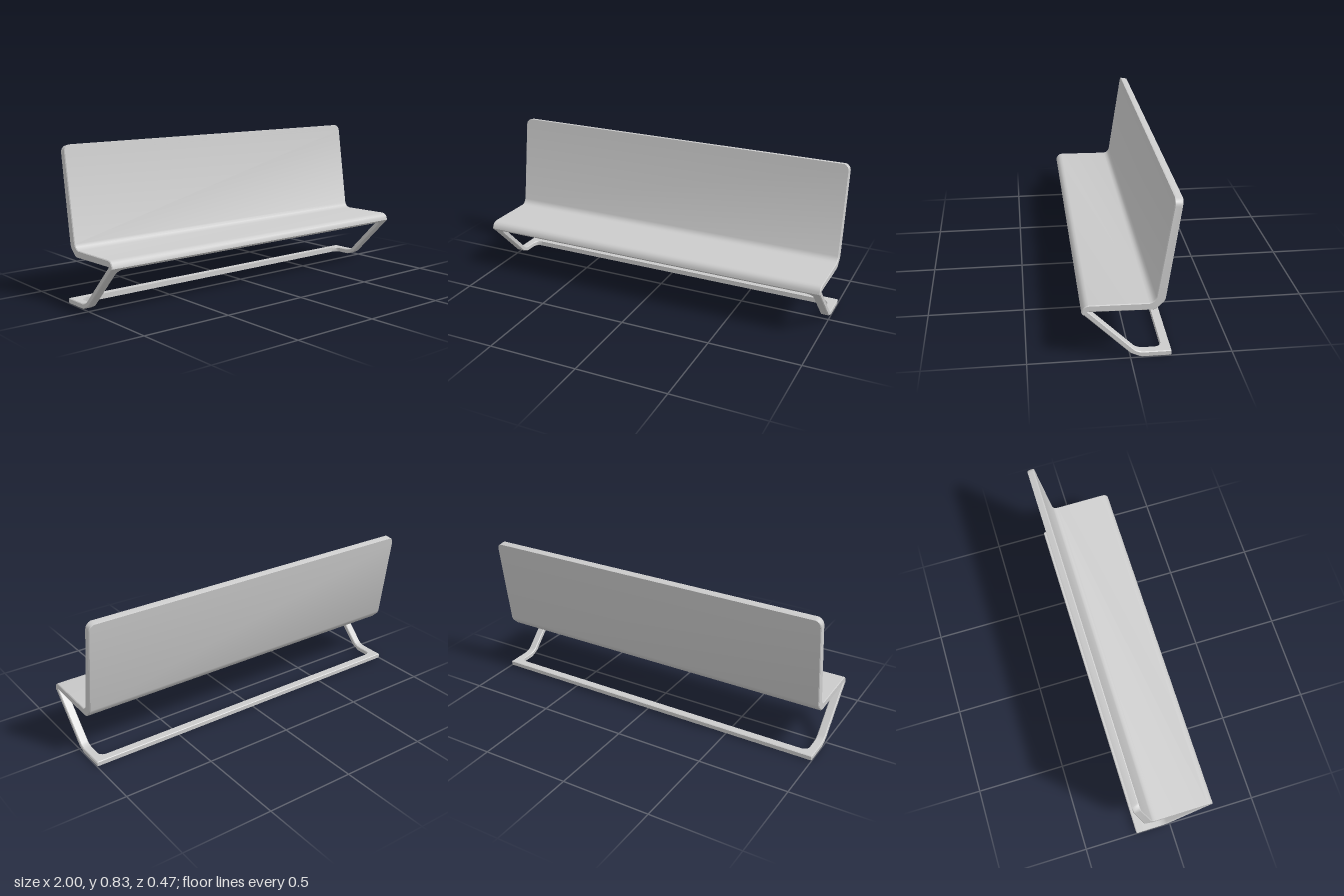
import * as THREE from 'three';
import { toCreasedNormals } from 'three/addons/utils/BufferGeometryUtils.js';

const material = new THREE.MeshStandardMaterial({ color: 0xcccccc });
const BEVEL = 0.004;
const HOLE = 0.955; // half width of the opening between the legs
const R = 0.036; // corner radius of the plates
const STEPS = 5;

// A station is [az, ay, bz, by, x0, x1]: the upper point a and lower point b
// of the plate in side view, and the span it covers in x.
function ring([az, ay, bz, by, x0, x1]) {
  const t = BEVEL / Math.hypot(az - bz, ay - by);
  return [
    [x0 + BEVEL, 0], [x1 - BEVEL, 0], [x1, t], [x1, 1 - t],
    [x1 - BEVEL, 1], [x0 + BEVEL, 1], [x0, 1 - t], [x0, t],
  ].map(([x, k]) => [x, ay + (by - ay) * k, az + (bz - az) * k]);
}

// Bevelled plate running through the stations, closed at both ends
function plate(name, stations) {
  const rings = stations.map(ring);
  const pos = [];
  const tri = (...pts) => pts.forEach((p) => pos.push(...p));
  for (let i = 0; i < rings.length - 1; i++) {
    const p = rings[i], q = rings[i + 1];
    for (let j = 0; j < 8; j++) {
      const n = (j + 1) % 8;
      tri(p[j], p[n], q[n]);
      tri(p[j], q[n], q[j]);
    }
  }
  const first = rings[0], last = rings[rings.length - 1];
  for (let j = 1; j < 7; j++) {
    tri(first[0], first[j + 1], first[j]);
    tri(last[0], last[j], last[j + 1]);
  }
  const geometry = new THREE.BufferGeometry();
  geometry.setAttribute('position', new THREE.Float32BufferAttribute(pos, 3));
  const mesh = new THREE.Mesh(toCreasedNormals(geometry, 0.6), material);
  mesh.name = name;
  return mesh;
}

const quarter = (k) => (k / STEPS) * Math.PI / 2;

// Seat and backrest: one bent sheet from the rounded front nose to the top edge
function seatStations() {
  const stations = [
    [0.235, 0.262, 0.223, 0.25],
    [0.233, 0.276, 0.214, 0.26],
    [0.225, 0.29, 0.209, 0.265],
    [0.213, 0.299, 0.205, 0.267],
    [0.2, 0.302, 0.2, 0.267],
    [-0.085, 0.298, -0.105, 0.26],
    [-0.1, 0.302, -0.12, 0.265],
    [-0.112, 0.312, -0.155, 0.299],
    [-0.12, 0.327, -0.164, 0.316],
  ].map((s) => [...s, -1, 1]);
  // rounded upper corners
  for (let k = 0; k <= STEPS; k++) {
    const d = R * (1 - Math.sin(quarter(k)));
    const w = 1 - R * (1 - Math.cos(quarter(k)));
    const inset = k === STEPS ? 0.005 : 0;
    stations.push([
      -0.196 + 0.15 * d - inset, 0.827 - 0.989 * d,
      -0.234 + 0.14 * d + inset, 0.82 - 0.989 * d, -w, w,
    ]);
  }
  return stations;
}

// Left leg: slants back from the nose, then bends flat onto the ground
function legStations() {
  const stations = [[0.209, 0.274, 0.228, 0.255, HOLE - R, 1]];
  for (let k = 0; k <= STEPS; k++) {
    const d = 0.707 * R * (1 - Math.cos(quarter(k)));
    const inner = HOLE - R * (1 - Math.sin(quarter(k)));
    stations.push([0.204 - d, 0.269 - d, 0.223 - d, 0.25 - d, inner, 1]);
  }
  const bend = [
    [-0.018, 0.045, 0, 0.025],
    [-0.03, 0.037, -0.02, 0.015],
    [-0.047, 0.031, -0.043, 0.005],
    [-0.06, 0.029, -0.055, 0.001],
  ];
  bend.forEach((s) => stations.push([...s, HOLE, 1]));
  for (let k = 0; k <= STEPS; k++) {
    const z = -0.157 + R * (1 - Math.sin(quarter(k)));
    const inner = HOLE - R * (1 - Math.cos(quarter(k)));
    stations.push([z, 0.028, z, 0, inner, 1]);
  }
  return stations;
}

export function createModel() {
  const model = new THREE.Group();
  model.name = 'bench';
  model.add(plate('seatAndBackrest', seatStations()));

  const leg = legStations();
  model.add(plate('leftLeg', leg));
  model.add(plate('rightLeg', leg.map((s) => [...s.slice(0, 4), -s[5], -s[4]])));

  // Rear ground bar joining the legs
  model.add(plate('rearBar', [
    [-0.157, 0.028, -0.157, 0, -1, 1],
    [-0.196, 0.028, -0.196, 0, -1, 1],
    [-0.2, 0.025, -0.2, 0.003, -0.997, 0.997],
  ]));
  return model;
}
